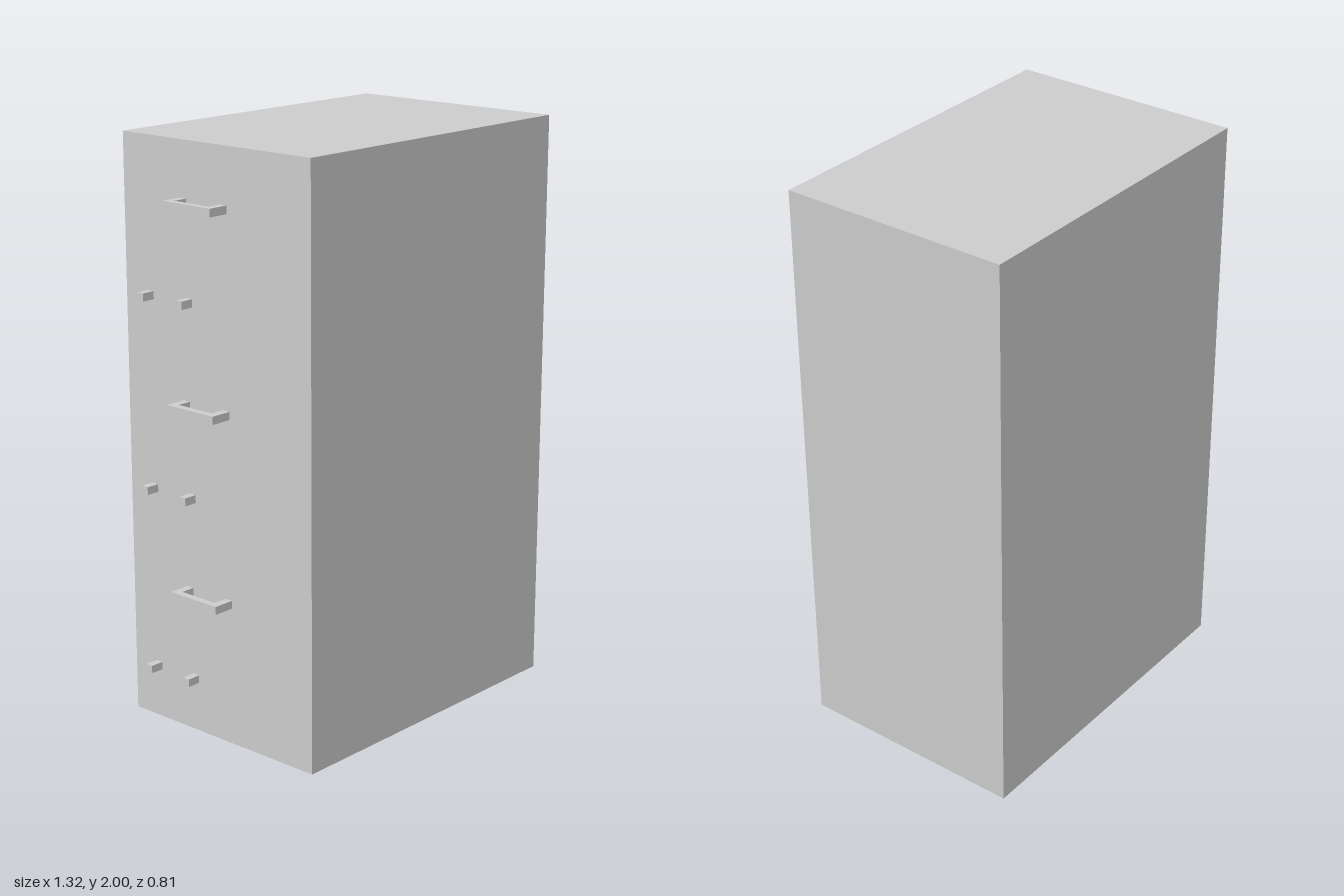
import * as THREE from 'three';

const material = new THREE.MeshStandardMaterial({ color: 0xcccccc, flatShading: true });

// Box given by its lower and upper limits on each axis
function box(name, [x0, x1], [y0, y1], [z0, z1]) {
  const mesh = new THREE.Mesh(new THREE.BoxGeometry(x1 - x0, y1 - y0, z1 - z0), material);
  mesh.position.set((x0 + x1) / 2, (y0 + y1) / 2, (z0 + z1) / 2);
  mesh.name = name;
  return mesh;
}

// U-shaped pull, lying flat, open towards the cabinet (+x)
function handle(y) {
  const outer = -0.66, bar = -0.635, tip = -0.585, half = 0.102, inner = 0.074, height = 0.027;
  const outline = [
    [outer, -half], [tip, -half], [tip, -inner], [bar, -inner],
    [bar, inner], [tip, inner], [tip, half], [outer, half],
  ].map(([x, z]) => new THREE.Vector2(x, z));
  const geometry = new THREE.ExtrudeGeometry(new THREE.Shape(outline), { depth: height, bevelEnabled: false });
  geometry.rotateX(-Math.PI / 2);
  geometry.translate(0, y - height / 2, 0);
  const mesh = new THREE.Mesh(geometry, material);
  mesh.name = 'handle';
  return mesh;
}

export function createModel() {
  const model = new THREE.Group();
  model.name = 'filingCabinet';
  model.add(box('cabinetBody', [-0.537, 0.66], [0, 2], [-0.406, 0.406]));

  // One pull per drawer
  for (const y of [0.521, 1.156, 1.813]) model.add(handle(y));

  // A pair of mounting pegs below each pull, offset to the back
  for (const y of [0.187, 0.823, 1.479]) {
    const pegs = new THREE.Group();
    pegs.name = 'mountingPegs';
    for (const z of [-0.294, -0.118]) {
      pegs.add(box('peg', [-0.585, -0.537], [y - 0.0135, y + 0.0135], [z - 0.0135, z + 0.0135]));
    }
    model.add(pegs);
  }
  return model;
}
